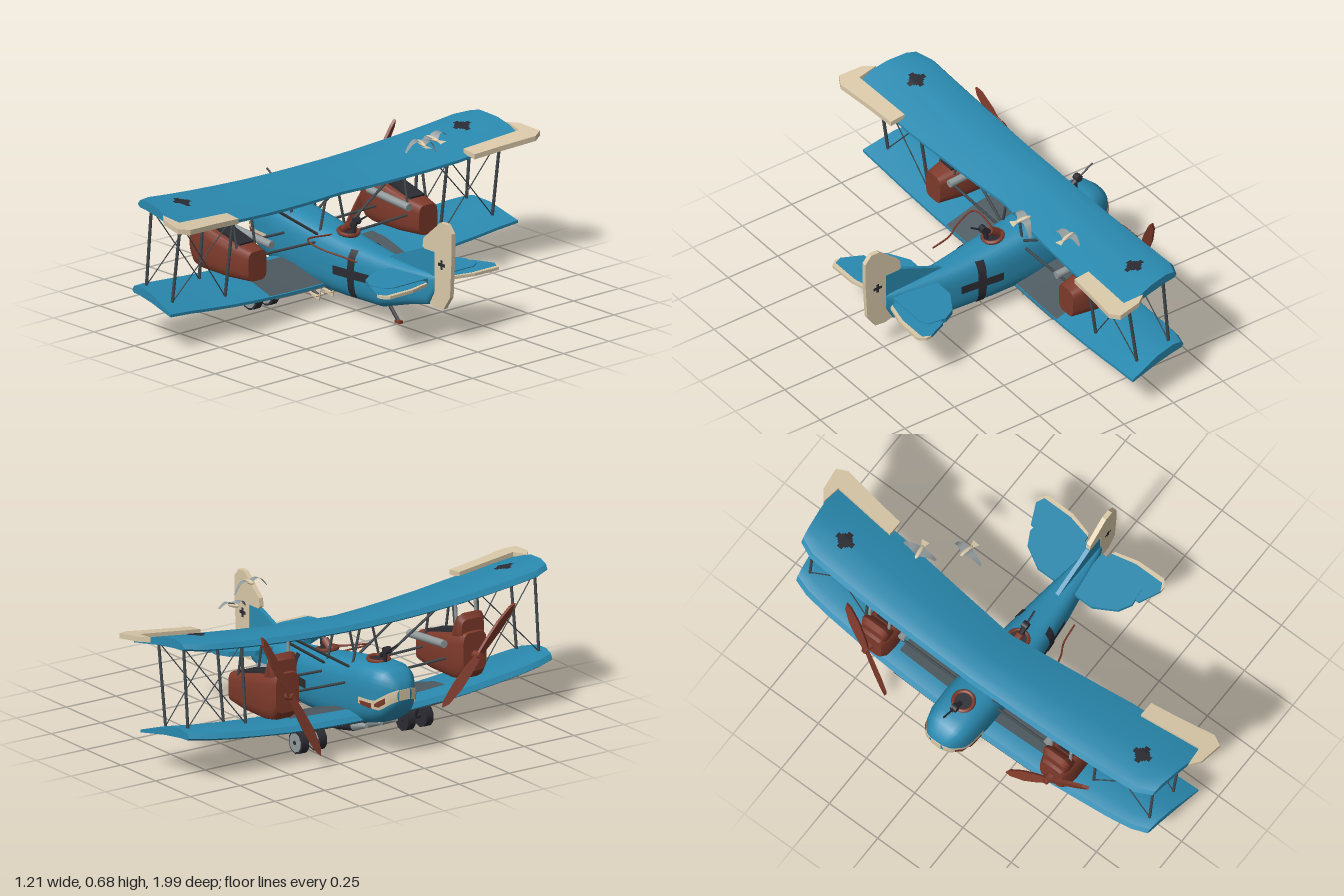
import * as THREE from 'three';
import { toCreasedNormals } from 'three/addons/utils/BufferGeometryUtils.js';

const mat = (name, color) => {
  const m = new THREE.MeshStandardMaterial({ color, side: THREE.DoubleSide });
  m.name = name;
  return m;
};
const V = (x, y, z) => new THREE.Vector3(x, y, z);

// piecewise linear lookup: rows are [key, value, value...]
function tab(rows, k, col = 1) {
  for (let i = 1; i < rows.length; i++) {
    if (k <= rows[i][0] || i === rows.length - 1) {
      const a = rows[i - 1], b = rows[i];
      const t = THREE.MathUtils.clamp((k - a[0]) / (b[0] - a[0]), 0, 1);
      return a[col] + (b[col] - a[col]) * t;
    }
  }
}

// closed skin through rings of points, capped at both ends, always facing outwards
function loft(rings, crease = 0.6) {
  const n = rings[0].length, pts = rings.flat(), idx = [];
  for (let r = 0; r < rings.length - 1; r++) for (let i = 0; i < n; i++) {
    const a = r * n + i, b = r * n + (i + 1) % n;
    idx.push(a, b, b + n, a, b + n, a + n);
  }
  [0, rings.length - 1].forEach(r => {
    const c = pts.length;
    pts.push(rings[r].reduce((s, p) => s.add(p), V(0, 0, 0)).divideScalar(n));
    for (let i = 0; i < n; i++) {
      const a = r * n + i, b = r * n + (i + 1) % n;
      r ? idx.push(c, a, b) : idx.push(c, b, a);
    }
  });
  let vol = 0;
  for (let i = 0; i < idx.length; i += 3) vol += pts[idx[i]].dot(V(0, 0, 0).crossVectors(pts[idx[i + 1]], pts[idx[i + 2]]));
  if (vol < 0) idx.reverse();
  const g = new THREE.BufferGeometry().setFromPoints(pts);
  g.setIndex(idx);
  return toCreasedNormals(g, crease);
}

// open sheet from a rule f(u, v)
function sheet(f, nu, nv) {
  const g = new THREE.PlaneGeometry(1, 1, nu, nv), p = g.attributes.position;
  for (let i = 0; i < p.count; i++) {
    const q = f(p.getX(i) + 0.5, p.getY(i) + 0.5);
    p.setXYZ(i, q.x, q.y, q.z);
  }
  g.computeVertexNormals();
  return g;
}

export function createModel() {
  const root = new THREE.Group();
  root.name = 'biplane';
  const blue = mat('blue paint', 0x2a8ab0), red = mat('red brown', 0x7e3a2b), cream = mat('cream', 0xdac9a9),
    dark = mat('black', 0x2b2b33), steel = mat('strut grey', 0x434b50), grey = mat('light grey', 0x929a9c),
    slate = mat('slate', 0x4d5a60);

  const add = (name, geo, m, parent = root) => {
    const mesh = new THREE.Mesh(geo, m);
    mesh.name = name;
    parent.add(mesh);
    return mesh;
  };
  const box = (name, w, h, d, x, y, z, m) => {
    const b = add(name, new THREE.BoxGeometry(w, h, d), m);
    b.position.set(x, y, z);
    return b;
  };
  const rod = (name, a, b, r, m = steel, r2 = r, sides = 6) => {
    const c = add(name, new THREE.CylinderGeometry(r2, r, a.distanceTo(b), sides), m);
    c.position.copy(a).lerp(b, 0.5);
    c.quaternion.setFromUnitVectors(V(0, 1, 0), b.clone().sub(a).normalize());
    return c;
  };
  const plate = (name, pts, t, m) => { // upright plate in the x-y plane
    const g = new THREE.ExtrudeGeometry(new THREE.Shape(pts.map(p => new THREE.Vector2(...p))), { depth: t, bevelEnabled: false });
    return add(name, g.translate(0, 0, -t / 2), m);
  };
  const flat = (name, pts, t, y, m) => { // level plate, points are x, z
    const p = plate(name, pts.map(([x, z]) => [x, -z]), t, m);
    p.geometry.rotateX(-Math.PI / 2);
    p.position.y = y;
    return p;
  };

  // fuselage: x, top, bottom, half width
  const F = [[-.605, .31, .255, .03], [-.59, .345, .22, .06], [-.55, .38, .17, .09], [-.5, .39, .14, .105], [-.4, .385, .11, .11],
    [-.2, .35, .078, .108], [0, .315, .07, .092], [.2, .29, .07, .07], [.35, .28, .115, .048], [.46, .275, .14, .028], [.495, .27, .2, .015]];
  const SQ = 3.1; // squareness of the fuselage section
  const pw = (c, n) => Math.sign(c) * Math.abs(c) ** (2 / n);
  const oval = (x, top, bot, w, n, z0 = 0, seg = 32) => Array.from({ length: seg }, (_, i) => {
    const a = (i + .5) / seg * Math.PI * 2;
    return V(x, (top + bot) / 2 + pw(Math.sin(a), n) * (top - bot) / 2, z0 + pw(Math.cos(a), n) * w);
  });
  add('fuselage', loft(F.map(r => oval(...r, SQ))), blue);
  const skin = (x, y, s, off = .004) => {
    const T = tab(F, x, 1), B = tab(F, x, 2), t = Math.min(1, Math.abs((2 * y - T - B) / (T - B)));
    return V(x, y, s * (tab(F, x, 3) * (1 - t ** SQ) ** (1 / SQ) + off));
  };

  // wings: rounded tips, gentle upward sweep; section is [chord fraction, height]
  const section = [[0, -.012], [.05, .008], [.2, .018], [.5, .008], [1, -.042], [1, -.054], [.5, -.03], [.2, -.022], [.05, -.022]];
  const upper = { y: .53, rise: .06, lead: [[0, -.38], [.5, -.375], [.85, -.36], [.91, -.33]], trail: [[0, -.1], [.3, -.07], [.6, -.04], [.95, -.03]] };
  const lower = { y: .15, rise: .062, lead: [[0, -.43], [.4, -.425], [.82, -.395], [.91, -.365]], trail: [[0, -.11], [.5, -.09], [.95, -.075]] };
  const wingAt = (w, u, v, z) => {
    const k = Math.abs(z), l = tab(w.lead, k);
    return V(l + (tab(w.trail, k) - l) * u, w.y + w.rise * (k / .92) ** 2 + v, z);
  };
  const top = section.slice(0, 5), under = [section[0], section[8], section[7], section[6], section[5]];
  const wingY = (w, x, z, rows, off) => {
    const a = wingAt(w, 0, 0, z), b = wingAt(w, 1, 0, z);
    return a.y + tab(rows, (x - a.x) / (b.x - a.x)) + off;
  };
  const stations = [.15, .3, .45, .6, .73, .84, .91];
  const span = [...stations.map(z => -z).reverse(), 0, ...stations];
  for (const [name, w] of [['upperWing', upper], ['lowerWing', lower]]) {
    add(name, loft(span.map(z => section.map(([u, v]) => {
      const p = wingAt(w, u, v, z);
      if (Math.abs(z) > .9) p.z += Math.sign(z) * .045 * u;
      return p;
    }))), blue);
  }
  // worn panels around the wing root
  add('wingCentreUnderside', sheet((u, v) => wingAt(lower, u, tab(under, u) - .004, (v - .5) * .72), 20, 12), slate);

  // tail
  plate('fin', [[.19, .28], [.42, .375], [.495, .372], [.495, .22], [.3, .25]], .018, blue);
  plate('rudder', [[.42, .385], [.425, .42], [.53, .51], [.57, .51], [.6, .475], [.6, .38], [.59, .2], [.55, .14], [.5, .135], [.465, .145], [.495, .25], [.495, .375], [.43, .375]], .02, cream);

  for (const s of [-1, 1]) {
    const side = s > 0 ? 'left' : 'right';
    const m = pts => pts.map(([x, z]) => [x, s * z]);
    flat(side + 'Stabilizer', m([[.265, .03], [.265, .14], [.32, .235], [.375, .265], [.455, .255], [.475, .22], [.475, .03]]), .022, .25, blue);
    flat(side + 'Elevator', m([[.4, .06], [.4, .28], [.49, .322], [.525, .305], [.525, .17], [.5, .06]]), .014, .25, blue);
    flat(side + 'ElevatorEdge', m([[.5, .06], [.525, .17], [.525, .305], [.49, .322], [.515, .324], [.545, .3], [.542, .17], [.515, .07]]), .013, .25, cream);

    // aileron lapping over the wing's rear corner
    const aileron = flat(side + 'Aileron', m([[-.07, .65], [0, .65], [.015, .78], [.04, .95], [.015, .995], [-.09, .98], [-.135, .945], [-.045, .935]]), .022, 0, cream);
    const ap = aileron.geometry.attributes.position;
    for (let i = 0; i < ap.count; i++) ap.setY(i, ap.getY(i) + .53 + (Math.abs(ap.getZ(i)) - .65) * .1 - (ap.getX(i) + .04) * .12);
    aileron.geometry.computeVertexNormals();

    // painted crosses
    const cross = (name, f, a, b, t) => {
      add(name, sheet((u, v) => f((u - .5) * a, (v - .5) * t), 8, 4), dark);
      add(name, sheet((u, v) => f((u - .5) * t, (v - .5) * b), 4, 8), dark);
    };
    const onWing = (a, b) => V(-.215 + a, wingY(upper, -.215 + a, s * (.77 + b), top, .004), s * (.77 + b));
    cross(side + 'WingCross', onWing, .084, .084, .024);
    cross(side + 'WingCrossCentre', onWing, .054, .054, .04);
    cross(side + 'BodyCross', (a, b) => skin(.063 + a, .19 + b, s), .2, .205, .038);
    cross(side + 'RudderCross', (a, b) => V(.54 + a, .33 + b, s * .013), .042, .042, .014);

    // painted mouth with red gums
    const mouth = (name, x0, x1, lo, hi, off, mt) => add(name, sheet((u, v) => {
      const x = x0 + (x1 - x0) * u, a = lo(x), p = skin(x, a + (hi(x) - a) * v, s, off);
      p.x -= .003;
      return p;
    }, 12, 4), mt);
    const lip = x => tab([[-.605, .31], [-.53, .255], [-.43, .25]], x), jaw = x => tab([[-.605, .26], [-.55, .215], [-.43, .222]], x);
    mouth(side + 'Mouth', -.604, -.43, jaw, lip, .004, cream);
    mouth(side + 'Gum', -.575, -.53, x => jaw(x) + .014, x => lip(x) - .014, .0065, red);
    mouth(side + 'Gum', -.515, -.445, jaw, x => lip(x) - .013, .0065, red);

    // engine nacelle
    const z = s * .47;
    add(side + 'Nacelle', loft([[-.44, .42, .25, .058], [-.41, .425, .215, .07], [-.36, .405, .205, .074], [-.2, .365, .205, .07], [-.085, .338, .21, .05]]
      .map(r => oval(...r, 4.5, z, 16))), red);
    add(side + 'Radiator', loft([[-.425, .475, .38, .055], [-.405, .5, .38, .066], [-.385, .485, .38, .064], [-.355, .41, .36, .06]].map(r => oval(...r, 4.5, z, 12))), red);
    box(side + 'EngineBlock', .2, .03, .075, -.25, .372, z, dark).rotation.z = -.26;
    box(side + 'RadiatorBack', .006, .07, .06, -.374, .44, z, dark).rotation.z = .4;
    rod(side + 'Exhaust', V(-.35, .36, s * .378), V(-.1, .34, s * .378), .017, grey, .017, 10);
    for (const d of [-.05, .05]) rod(side + 'RadiatorPipe', V(-.38, .42, z + d), V(-.37, .53, z + d), .008, grey);

    // propeller, leaning back at the top
    rod(side + 'PropellerHub', V(-.42, .32, z), V(-.482, .328, z), .022, red, .012, 10);
    const prop = new THREE.Group();
    prop.name = side + 'Propeller';
    const half = s < 0 ? .3 : .27;
    const blade = [[-.012, 0], [-.02, .08], [-.024, .17], [-.015, .26], [0, .29], [.012, .26], [.02, .17], [.018, .08], [.012, 0]];
    for (const e of [0, Math.PI]) {
      const sh = new THREE.Shape(blade.map(([a, b]) => new THREE.Vector2(a, b * half / .29)));
      const b = add('blade', new THREE.ExtrudeGeometry(sh, { depth: .012, bevelEnabled: false }).translate(0, 0, -.006), red, prop);
      b.rotation.set(0, .35, e, 'ZYX');
    }
    prop.rotation.set(0, -Math.PI / 2, s < 0 ? .43 : -.82, 'YXZ');
    const tilt = new THREE.Group();
    tilt.name = side + 'PropellerMount';
    tilt.position.set(-.465, .325, z);
    tilt.rotation.z = -.12;
    tilt.add(prop);
    root.add(tilt);

    // wing struts and crossed wires
    const lo = (x, k) => V(x, wingY(lower, x, k, top, 0), s * k), hi = (x, k) => V(x, wingY(upper, x, k, under, 0), s * k);
    for (const k of [.59, .88]) {
      rod(side + 'FrontStrut', lo(-.31, k), hi(-.28, k), .007);
      rod(side + 'RearStrut', lo(-.15, k), hi(-.1, k), .007);
    }
    for (const [a, b] of [[.59, .88], [.88, .59]]) {
      rod(side + 'Wire', lo(-.31, a), hi(-.28, b), .0025);
      rod(side + 'Wire', lo(-.15, a), hi(-.1, b), .0025);
    }
    for (const k of [.42, .52]) rod(side + 'NacelleStrut', V(-.155, .33, s * k), hi(-.19, k), .006);
    for (const x of [-.33, -.15]) {
      const y = tab(F, x, 1);
      rod(side + 'CabaneStrut', V(x, y - .03, s * .07), hi(x, .03), .006);
      rod(side + 'BraceStrut', V(x, y - .03, s * .08), hi(x, .36), .006);
      rod(side + 'NacelleBrace', V(x, .28, s * .08), V(x, .29, s * .42), .006);
    }
    add(side + 'WingRootTop', sheet((u, v) => wingAt(lower, .25 + u * .75, tab(top, .25 + u * .75) + .004, s * (.09 + v * .3)), 12, 6), slate);

    // paired wheels
    rod(side + 'Axle', V(-.295, .052, s * .2), V(-.295, .052, s * .335), .01, dark);
    for (const k of [.222, .312]) {
      rod(side + 'Tyre', V(-.295, .052, s * (k - .018)), V(-.295, .052, s * (k + .018)), .05, dark, .05, 10);
      rod(side + 'WheelDisc', V(-.295, .052, s * k), V(-.295, .052, s * (k + .021)), .041, grey, .041, 10);
    }
    for (const x of [-.34, -.24]) rod(side + 'GearLeg', V(-.295, .052, s * .267), V(x, .14, s * .267), .008, dark);
  }
  box('mouthFront', .004, .045, .05, -.607, .283, 0, cream);

  // bombs under the belly
  for (const z of [-.075, 0, .075]) {
    const n = V(-.44, .115, z), t = V(-.17, .055, z), at = k => n.clone().lerp(t, k);
    rod('bombNose', at(.3), at(0), .024, grey, .008, 10);
    rod('bombBody', at(.3), at(.75), .024, dark, .022, 10);
    rod('bombTail', at(.75), at(1.08), .022, dark, .007, 10);
    for (const a of [0, Math.PI / 2]) {
      const f = box('bombFin', .05, .046, .004, -.165, .053, z, cream);
      f.rotation.set(a, 0, -.22, 'ZYX');
    }
  }

  // cockpits and guns
  for (const [x, y, r, lean] of [[-.42, .383, .043, -.03], [-.05, .325, .042, .17]]) {
    const c = add('cockpitRim', new THREE.TorusGeometry(r, .009, 6, 20), red);
    c.rotation.set(-Math.PI / 2, lean, 0);
    c.position.set(x, y + .006, 0);
    rod('cockpitFloor', V(x, y - .02, 0), V(x, y + .006, 0), r, dark, r, 20);
  }
  const gun = (p, butt, muzzle) => {
    const at = k => butt.clone().lerp(muzzle, k);
    rod('gunPost', p, at(.25), .01, dark);
    rod('gunBody', butt, at(.5), .011, dark);
    rod('gunBarrel', butt, muzzle, .004, dark);
    rod('gunDrum', at(.35).add(V(0, .006, -.014)), at(.35).add(V(0, .006, .014)), .016, dark, .016, 10);
  };
  gun(V(-.465, .385, 0), V(-.44, .41, 0), V(-.555, .483, 0));
  gun(V(-.02, .32, 0), V(-.035, .36, 0), V(.06, .422, 0));
  rod('gunSeat', V(-.085, .33, 0), V(-.035, .365, 0), .018, red);

  // trailing scarf and tail skid
  add('scarf', new THREE.TubeGeometry(new THREE.CatmullRomCurve3([V(-.09, .32, .05), V(-.09, .325, .19), V(0, .3, .18), V(.06, .285, .15), V(.155, .275, .135)]), 24, .004, 5), red);
  rod('tailSkid', V(.2, .08, 0), V(.26, .018, 0), .008, dark);
  box('skidFoot', .03, .012, .02, .262, .016, 0, red);

  // two birds above the wing
  for (const [x, y, z, turn, bank, droop] of [[-.08, .62, -.49, .15, .12, .012], [.03, .66, -.33, -.15, -.15, .04]]) {
    const bird = new THREE.Group();
    bird.name = 'bird';
    add('birdBody', new THREE.SphereGeometry(1, 10, 8), cream, bird).scale.set(.036, .009, .011);
    add('birdTail', sheet((u, v) => V(.025 + u * .032, 0, (v - .5) * (.01 + u * .026)), 1, 1), cream, bird);
    for (const s of [-1, 1]) add('birdWing', sheet((u, v) =>
      V(-.022 + v * .05 * (1 - u * .75) + u * u * .025, .02 * Math.sin(u * 3) - u * u * droop, s * u * .075), 6, 2), grey, bird);
    bird.position.set(x, y, z);
    bird.rotation.set(bank, turn, -.15);
    root.add(bird);
  }
  return root;
}
